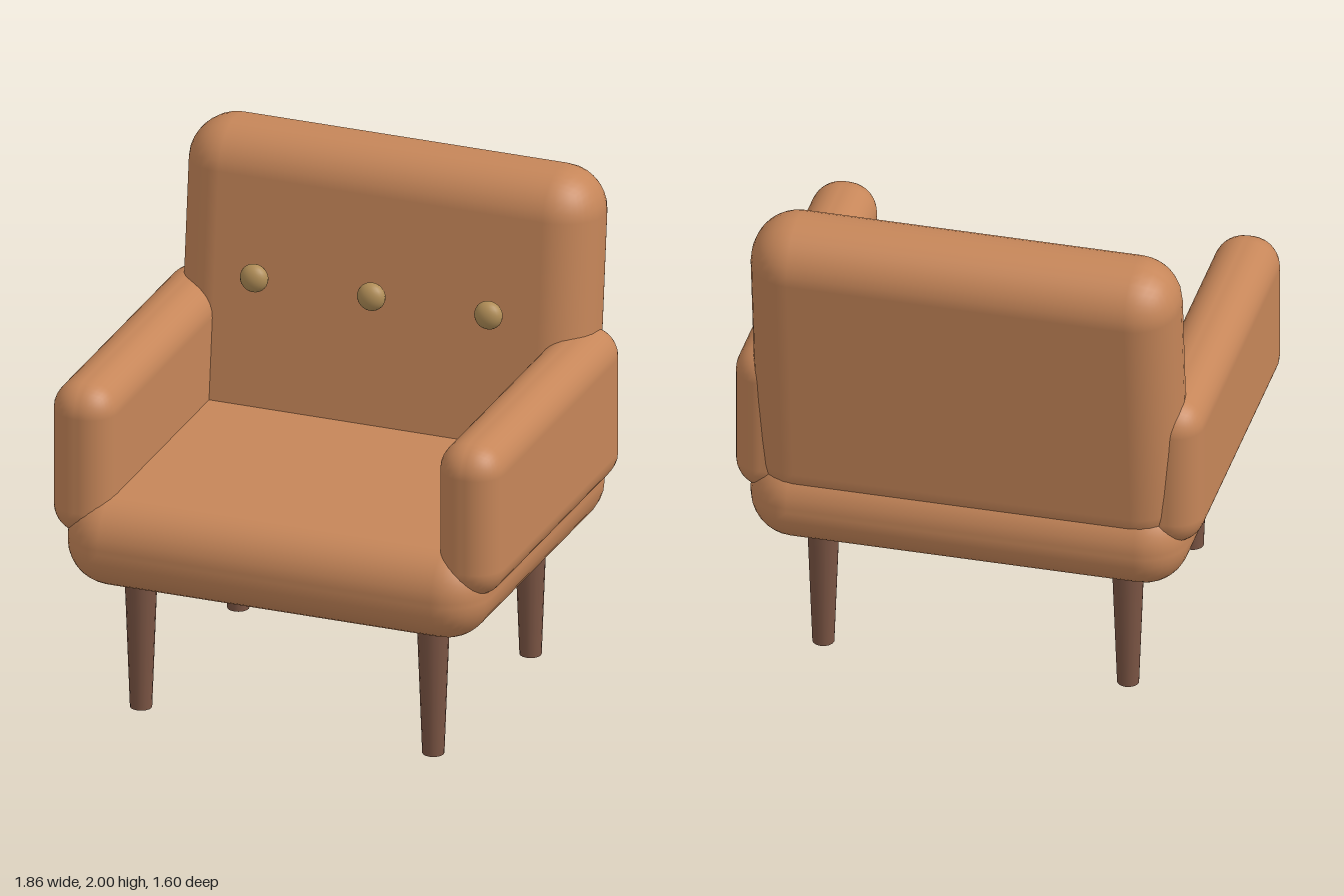
import * as THREE from 'three';
import { RoundedBoxGeometry } from 'three/addons/geometries/RoundedBoxGeometry.js';

const material = (name, color) => {
  const m = new THREE.MeshStandardMaterial({ color });
  m.name = name;
  return m;
};

export function createModel() {
  const leather = material('tan leather', 0xc68659);
  const wood = material('dark wood', 0x7b5544);
  const brass = material('brass', 0xb08d57);

  const model = new THREE.Group();
  model.name = 'armchair';

  const add = (name, geometry, mat, x, y, z) => {
    const mesh = new THREE.Mesh(geometry, mat);
    mesh.name = name;
    mesh.position.set(x, y, z);
    model.add(mesh);
    return mesh;
  };

  // Upholstered seat and reclined backrest
  add('seat', new RoundedBoxGeometry(1.74, 0.38, 1.52, 4, 0.18), leather, 0, 0.73, 0.04);
  const back = add('backrest', new RoundedBoxGeometry(1.7, 1.28, 0.38, 4, 0.18), leather, 0, 1.362, -0.56);
  back.rotation.x = -0.105;

  // Armrests
  const armGeometry = new RoundedBoxGeometry(0.26, 0.635, 1.405, 4, 0.12);
  for (const [side, s] of [['left', 1], ['right', -1]]) {
    add(side + 'Armrest', armGeometry, leather, s * 0.8, 1.053, 0.043);
  }

  // Tapered legs, tops sunk slightly into the seat
  const legGeometry = new THREE.CylinderGeometry(0.064, 0.043, 0.56, 16);
  for (const [side, s] of [['Left', 1], ['Right', -1]]) {
    add('front' + side + 'Leg', legGeometry, wood, s * 0.605, 0.28, 0.555);
    add('rear' + side + 'Leg', legGeometry, wood, s * 0.605, 0.28, -0.465);
  }

  // Row of flattened buttons in front of the backrest
  const buttonGeometry = new THREE.SphereGeometry(0.057, 20, 14);
  for (const x of [-0.485, 0, 0.485]) {
    add('button', buttonGeometry, brass, x, 1.46, -0.327).scale.z = 0.74;
  }

  return model;
}
